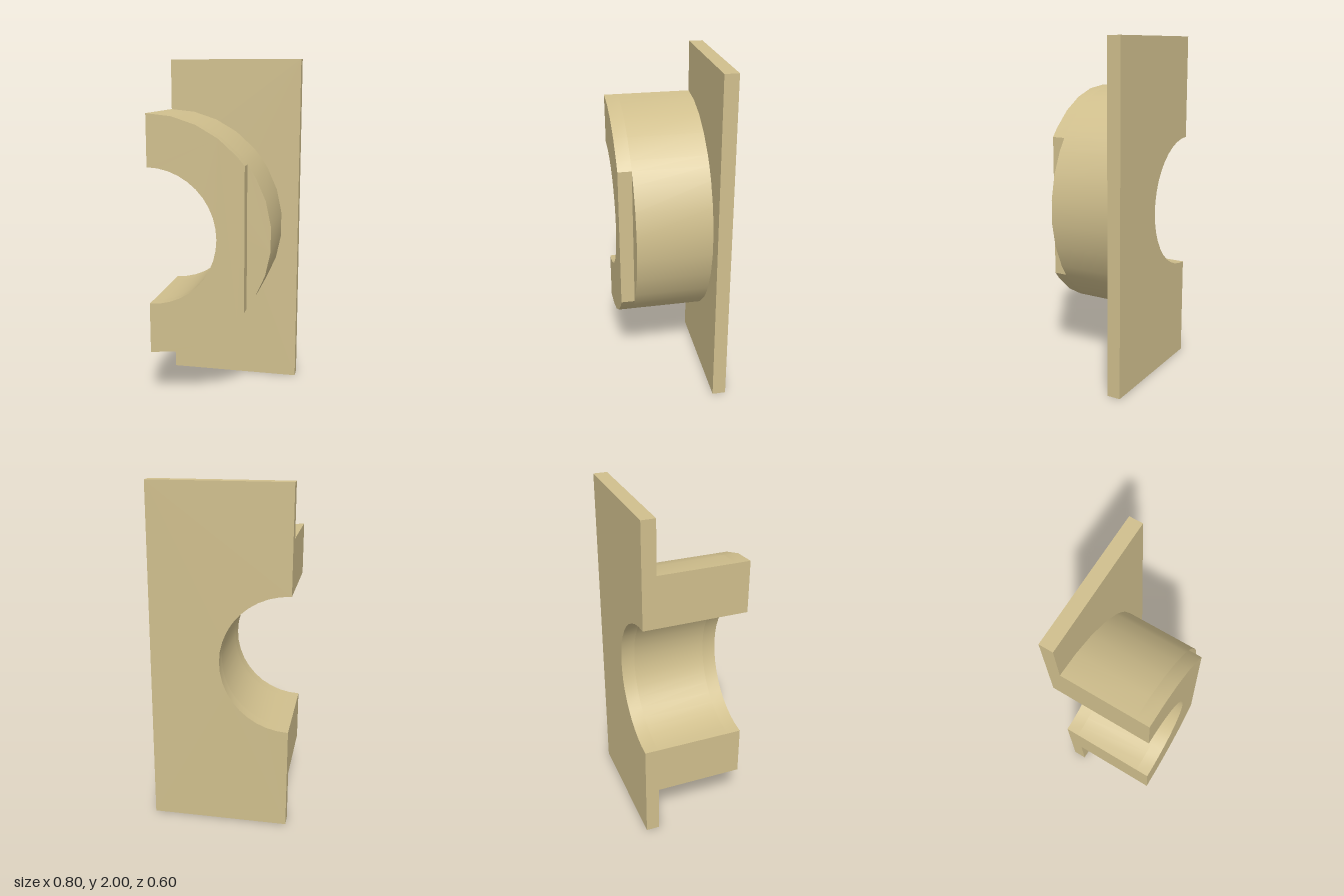
import * as THREE from 'three';
import { toCreasedNormals } from 'three/addons/utils/BufferGeometryUtils.js';

const CX = -0.4, CY = 1; // axis of the bore, on the cut side of the part
const BORE = 0.4, RING = 0.7;

// Points on a circle about the bore axis, at the given angles in degrees
const arc = (radius, angles) => angles.map((deg) => {
  const a = THREE.MathUtils.degToRad(deg);
  return new THREE.Vector2(CX + radius * Math.cos(a), CY + radius * Math.sin(a));
});

// Angles from -90 to 90 in equal steps
const steps = (n) => Array.from({ length: n + 1 }, (_, i) => -90 + (180 * i) / n);

export function createModel() {
  const group = new THREE.Group();
  const sand = new THREE.MeshStandardMaterial({ color: 0xd0bf8d });
  sand.name = 'sand';

  const bore = arc(BORE, steps(20)).reverse();

  // Extrude an outline, closed by the half bore, from z0 to z1
  function slab(name, outline, z0, z1) {
    const shape = new THREE.Shape([...outline, ...bore]);
    const geometry = new THREE.ExtrudeGeometry(shape, { depth: z1 - z0, bevelEnabled: false });
    geometry.translate(0, 0, z0);
    const mesh = new THREE.Mesh(toCreasedNormals(geometry, 0.5), sand);
    mesh.name = name;
    group.add(mesh);
  }

  // Rectangular back plate with the half bore cut through it
  slab('backPlate', [[-0.4, 0], [0.4, 0], [0.4, 2], [-0.4, 2]]
    .map(([x, y]) => new THREE.Vector2(x, y)), -0.3, -0.22);

  // Half ring standing on the plate; the flat's corners fall on its rim
  const flat = THREE.MathUtils.radToDeg(Math.atan2(0.42, 0.56));
  const rim = [...steps(15), -flat, flat].sort((a, b) => a - b);
  slab('halfRing', arc(RING, rim), -0.22, 0.22);

  // Front lip of the ring, cut off by the vertical flat
  slab('frontLip', arc(RING, rim.filter((a) => Math.abs(a) <= 90 && Math.abs(a) >= flat)), 0.22, 0.3);

  return group;
}
